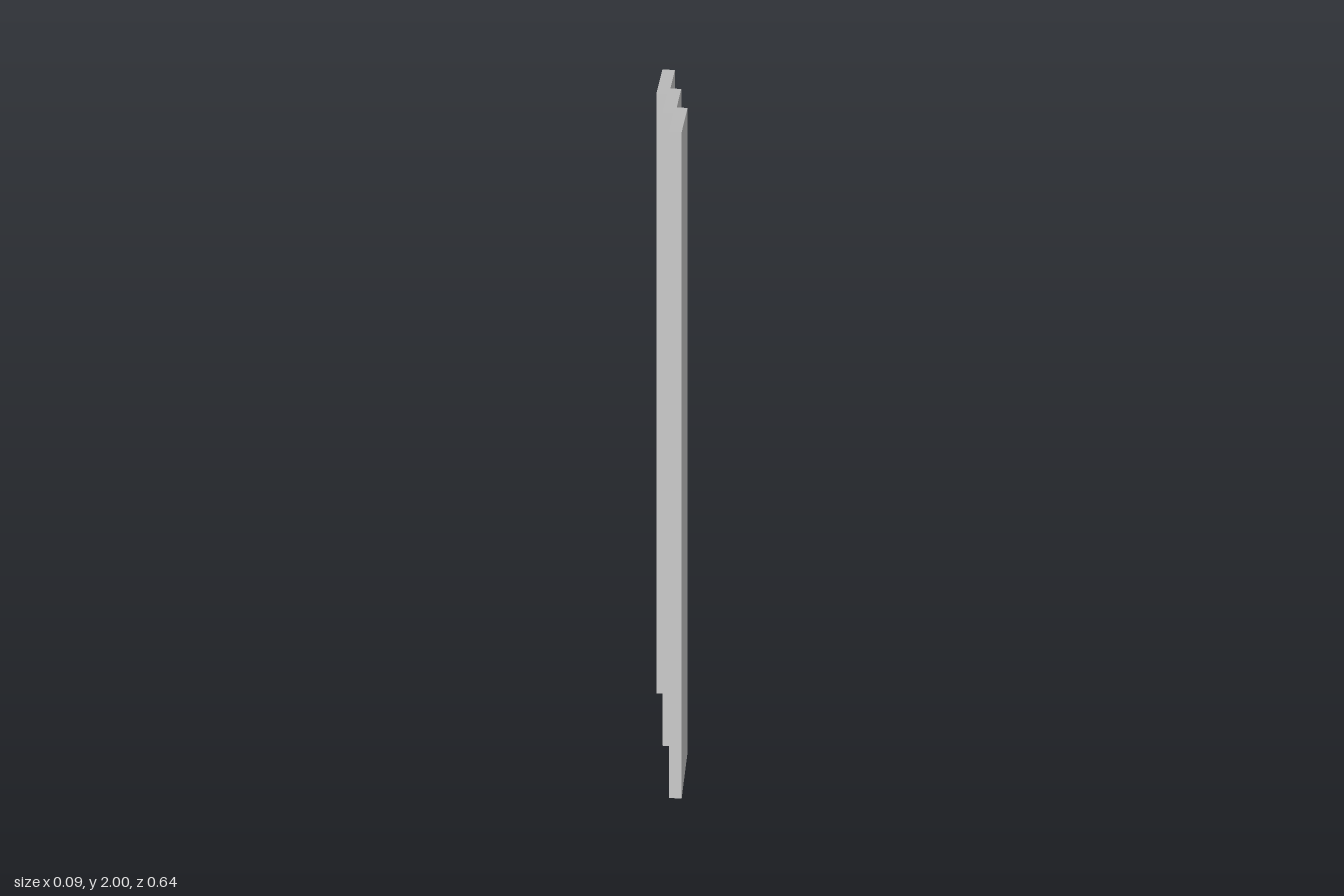
import * as THREE from 'three';

const WIDTH = 0.2, THICK = 0.031, DROP = 0.067;

// Upright board with a top edge that slopes down towards the back
function makePlank(height) {
  const h = WIDTH / 2;
  const profile = new THREE.Shape([
    new THREE.Vector2(-h, 0),
    new THREE.Vector2(h, 0),
    new THREE.Vector2(h, height - DROP),
    new THREE.Vector2(-h, height),
  ]);
  const geometry = new THREE.ExtrudeGeometry(profile, { depth: THICK, bevelEnabled: false });
  geometry.translate(0, 0, -THICK / 2);
  geometry.rotateY(Math.PI / 2); // profile x runs towards -z
  return new THREE.Mesh(geometry, new THREE.MeshStandardMaterial({ color: 0xcccccc, flatShading: true }));
}

export function createModel() {
  const model = new THREE.Group();
  model.name = 'steppedPlanks';
  // Three boards, each set back, sideways and lower than the one before
  ['frontPlank', 'middlePlank', 'backPlank'].forEach((name, i) => {
    const plank = makePlank(2 - 0.1 * i);
    plank.name = name;
    plank.position.set(0.032 * (1 - i), 0, 0.222 * (1 - i));
    model.add(plank);
  });
  return model;
}
